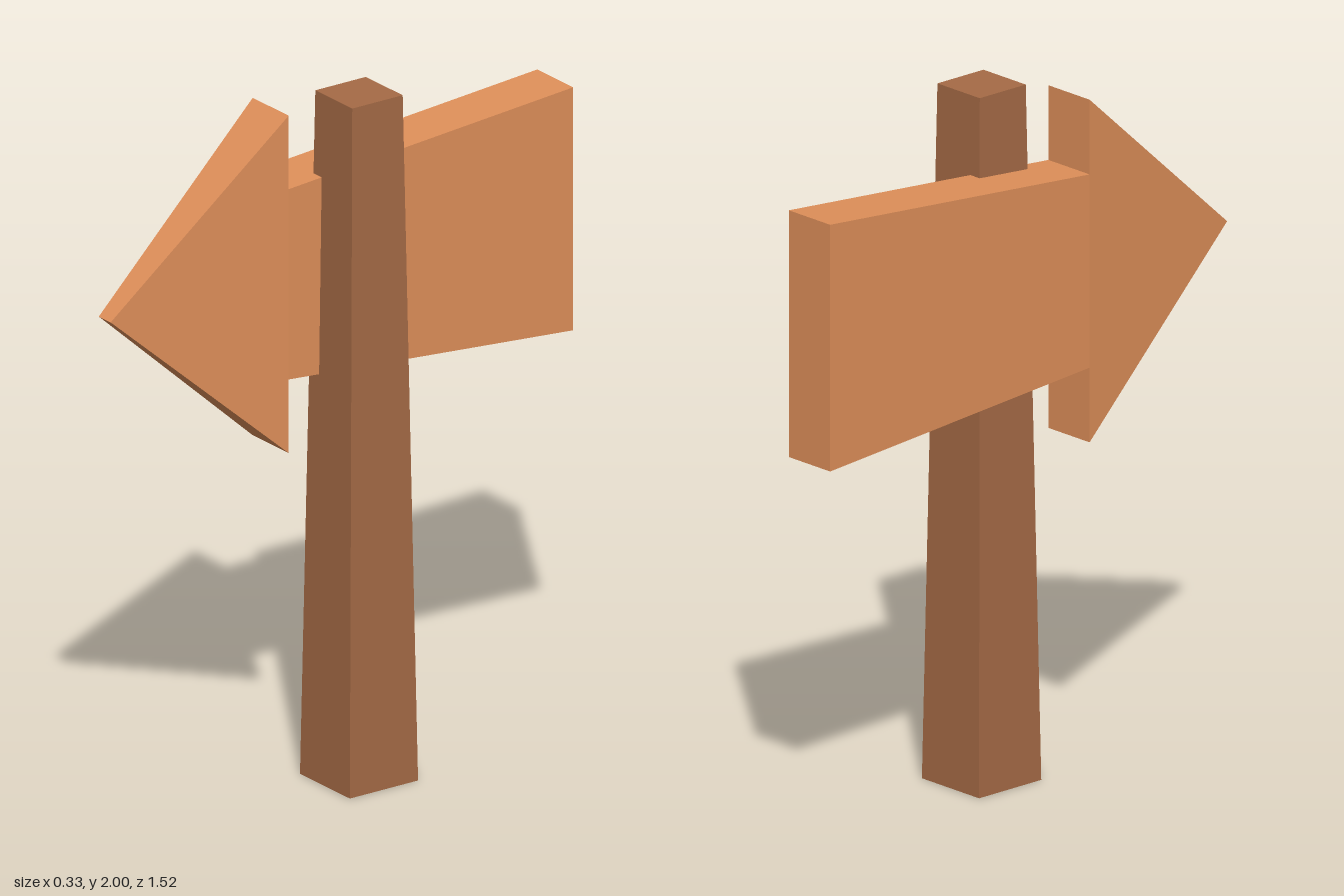
import * as THREE from 'three';

// Flat-shaded wood in a given tone
const wood = (color) => new THREE.MeshStandardMaterial({ color, flatShading: true });

export function createModel() {
  const group = new THREE.Group();

  // Square post, tapering towards the top
  const postGeo = new THREE.BoxGeometry(0.23, 2, 0.23);
  const p = postGeo.attributes.position;
  for (let i = 0; i < p.count; i++) {
    if (p.getY(i) > 0) {
      p.setX(i, p.getX(i) * 0.74);
      p.setZ(i, p.getZ(i) * 0.74);
    }
  }
  postGeo.computeVertexNormals();
  const post = new THREE.Mesh(postGeo, wood(0xa66b46));
  post.name = 'post';
  post.position.set(0.05, 1, 0);
  group.add(post);

  // Arrow board, outlined as (z, y) and mirrored about its centre line
  const midY = 1.47, tipZ = 0.76, thickness = 0.166;
  const half = [[-0.76, 0.355], [0.2, 0.278], [0.2, 0.493]];
  const outline = [
    ...half.map(([z, h]) => new THREE.Vector2(z, midY - h)),
    new THREE.Vector2(tipZ, midY),
    ...half.map(([z, h]) => new THREE.Vector2(z, midY + h)).reverse(),
  ];
  const boardGeo = new THREE.ExtrudeGeometry(new THREE.Shape(outline), {
    depth: thickness, bevelEnabled: false,
  });
  boardGeo.translate(0, 0, -thickness / 2);

  // Split the head from the tail along its base so that it thins evenly to the tip:
  // the outer head corners, neck and tail keep full thickness, only the tip narrows
  const b = boardGeo.attributes.position;
  for (let i = 0; i < b.count; i++) {
    if (b.getX(i) > tipZ - 0.01) b.setZ(i, b.getZ(i) * 0.33);
  }
  boardGeo.rotateY(-Math.PI / 2); // outline runs along +z
  boardGeo.computeVertexNormals();
  const board = new THREE.Mesh(boardGeo, wood(0xe0905a));
  board.name = 'arrowBoard';
  board.position.x = -0.084;
  group.add(board);

  return group;
}
